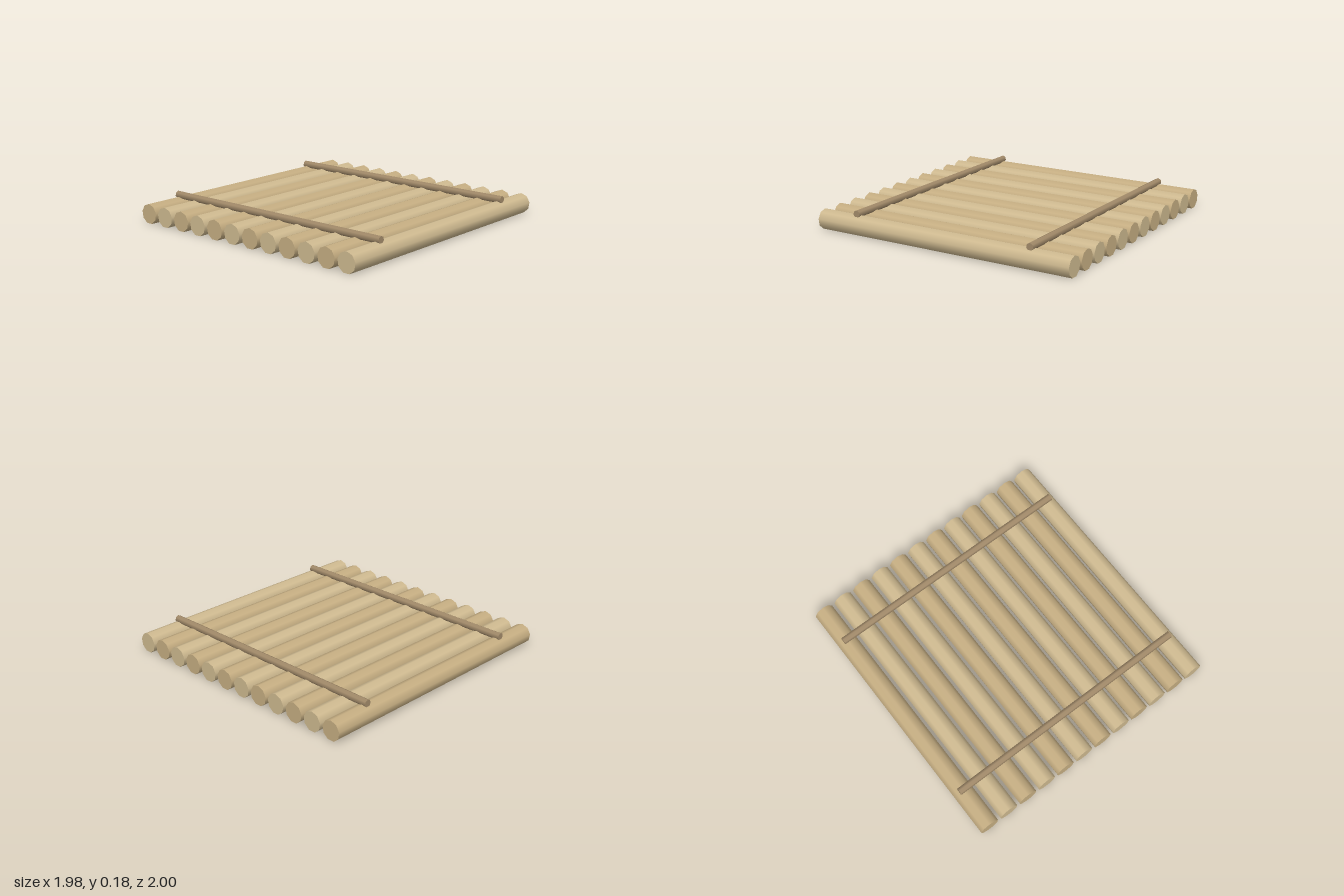
import * as THREE from 'three';

const LOG_COUNT = 12, LOG_RADIUS = 0.0735, LOG_SPACING = 0.1665;
const POLE_RADIUS = 0.027;

// Lying cylinder along z with one corner pointing up
function lyingPole(radius, length, sides) {
  return new THREE.CylinderGeometry(radius, radius, length, sides).rotateX(-Math.PI / 2);
}

export function createModel() {
  const raft = new THREE.Group();
  raft.name = 'raft';

  const logMaterials = [0xc6ae82, 0xcfba90].map(
    (color) => new THREE.MeshStandardMaterial({ color }));
  const poleMaterial = new THREE.MeshStandardMaterial({ color: 0xa28a69 });

  // Deck of parallel logs, alternating in tone
  const logGeometry = lyingPole(LOG_RADIUS, 2, 9);
  const logHeight = LOG_RADIUS * Math.cos(Math.PI / 9); // rests on a flat side
  for (let i = 0; i < LOG_COUNT; i++) {
    const log = new THREE.Mesh(logGeometry, logMaterials[i % 2]);
    log.name = `deckLog${i + 1}`;
    log.position.set((i - (LOG_COUNT - 1) / 2) * LOG_SPACING, logHeight, 0);
    raft.add(log);
  }

  // Two thin cross poles laid over the logs
  const poleGeometry = lyingPole(POLE_RADIUS, 1.89, 7).rotateY(Math.PI / 2);
  for (const [name, z] of [['frontCrossPole', 0.694], ['backCrossPole', -0.694]]) {
    const pole = new THREE.Mesh(poleGeometry, poleMaterial);
    pole.name = name;
    pole.position.set(0, 0.153, z);
    raft.add(pole);
  }

  return raft;
}
